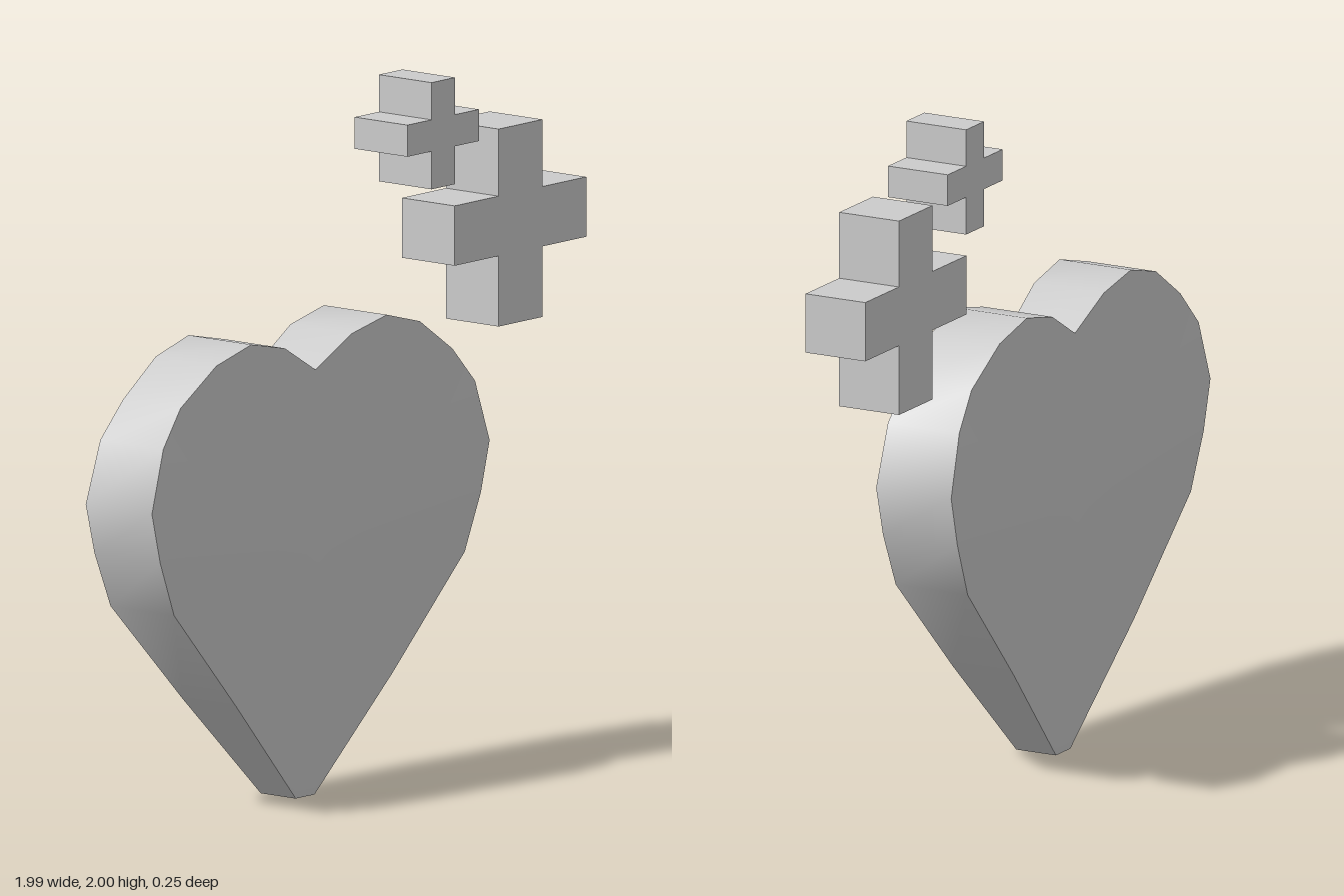
import * as THREE from 'three';
import { toCreasedNormals } from 'three/addons/utils/BufferGeometryUtils.js';

const material = new THREE.MeshStandardMaterial({ color: 0xcccccc });

// Plus-shaped slab from its outer box [x0, x1, y0, y1] and the inner bar limits
function plus(name, [x0, x1, y0, y1], [a0, a1, b0, b1]) {
  const outline = [
    [a0, y0], [a1, y0], [a1, b0], [x1, b0], [x1, b1], [a1, b1],
    [a1, y1], [a0, y1], [a0, b1], [x0, b1], [x0, b0], [a0, b0],
  ].map(([x, y]) => new THREE.Vector2(x, y));
  const geometry = new THREE.ExtrudeGeometry(new THREE.Shape(outline), { depth: 0.196, bevelEnabled: false });
  geometry.translate(0, 0, -0.11);
  const mesh = new THREE.Mesh(geometry, material);
  mesh.name = name;
  return mesh;
}

// Heart slab: each rim point has its own half thickness, both faces bulge gently
function heart() {
  const cx = -0.24;
  // Right half of the rim, bottom to top: [offset from the middle, y, half thickness]
  const half = [
    [0.042, 0, 0.065], [0.35, 0.315, 0.1], [0.65, 0.625, 0.118], [0.717, 0.788, 0.122],
    [0.755, 0.935, 0.123], [0.697, 1.115, 0.117], [0.608, 1.22, 0.107],
    [0.455, 1.322, 0.113], [0.303, 1.363, 0.117], [0.15, 1.33, 0.114],
  ];
  const rim = [...half, [0, 1.245, 0.104], ...half.map(([x, y, t]) => [-x, y, t]).reverse()];
  const front = rim.map(([x, y, t]) => [cx + x, y, t]);
  const back = rim.map(([x, y, t]) => [cx + x, y, -t]);
  const middle = [cx, 0.8, 0.121];
  const backMiddle = [cx, 0.8, -0.121];

  const corners = [];
  rim.forEach((_, i) => {
    const j = (i + 1) % rim.length;
    corners.push(middle, front[i], front[j]);
    corners.push(backMiddle, back[j], back[i]);
    corners.push(front[i], back[i], back[j], front[i], back[j], front[j]);
  });
  const geometry = new THREE.BufferGeometry();
  geometry.setAttribute('position', new THREE.Float32BufferAttribute(corners.flat(), 3));
  const mesh = new THREE.Mesh(toCreasedNormals(geometry, 0.65), material);
  mesh.name = 'heart';
  return mesh;
}

export function createModel() {
  const group = new THREE.Group();
  group.name = 'heartWithPlusSigns';
  group.add(
    heart(),
    plus('largePlus', [0.403, 0.992, 1.248, 1.822], [0.6, 0.796, 1.453, 1.627]),
    plus('smallPlus', [0.192, 0.512, 1.69, 2], [0.3, 0.405, 1.8, 1.892]),
  );
  return group;
}
